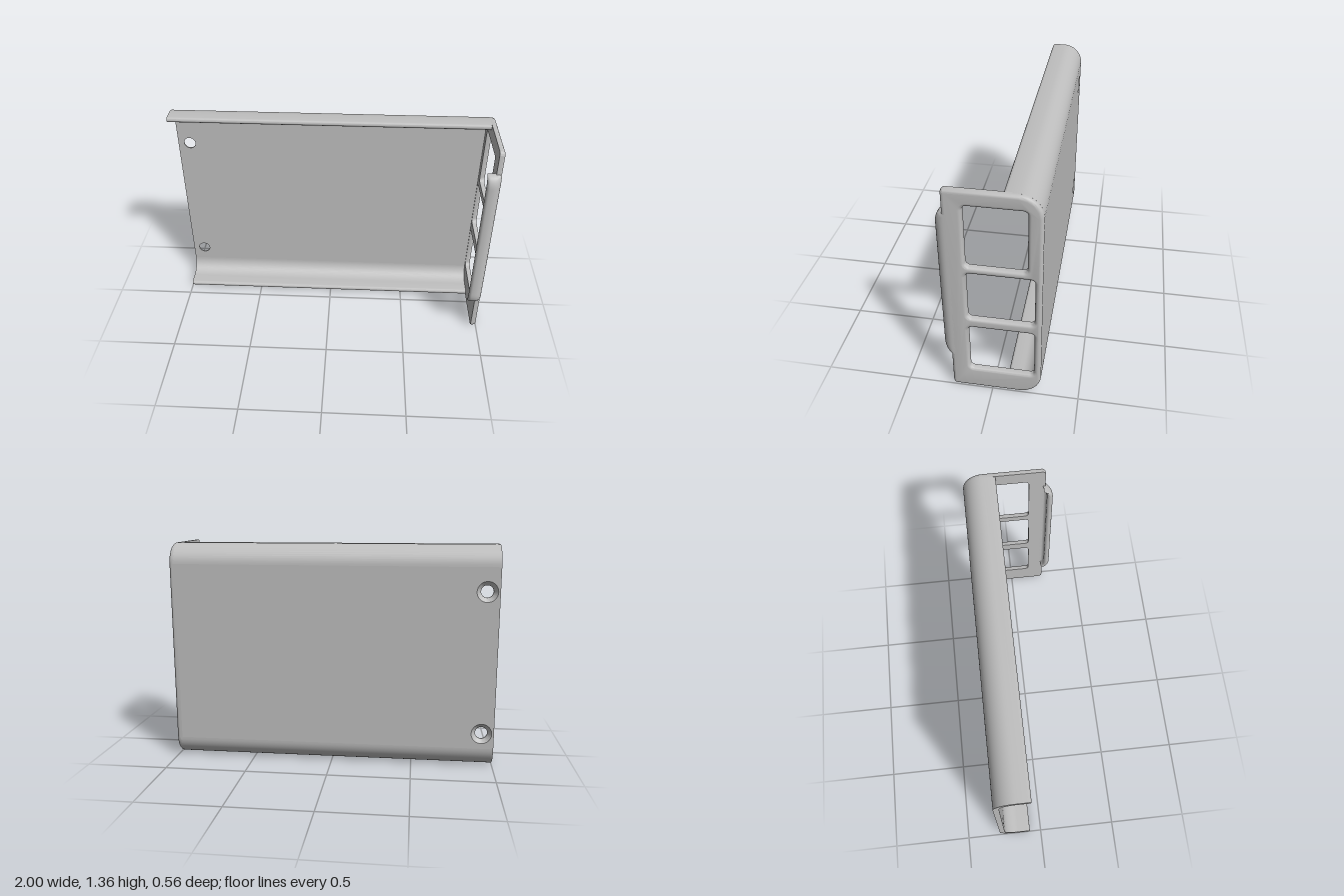
import * as THREE from 'three';
import { toCreasedNormals } from 'three/addons/utils/BufferGeometryUtils.js';

const H = 1.36, BACK = 0.28, R = 0.125, T = 0.033;   // height, back depth, corner radius, wall
const PLATE_X = 0.965, TRAY_END = 0.975;

const arc = (cx, cy, r, a0, a1, n) => Array.from({ length: n + 1 }, (_, i) => {
  const a = THREE.MathUtils.degToRad(a0 + (a1 - a0) * i / n);
  return new THREE.Vector2(cx + r * Math.cos(a), cy + r * Math.sin(a));
});

// Rectangle with corner radii [bottom left, bottom right, top right, top left]
function roundRect(x0, y0, x1, y1, [a, b, c, d], n = 8) {
  return [
    ...arc(x0 + a, y0 + a, a, 180, 270, n), ...arc(x1 - b, y0 + b, b, 270, 360, n),
    ...arc(x1 - c, y1 - c, c, 0, 90, n), ...arc(x0 + d, y1 - d, d, 90, 180, n),
  ];
}

export function createModel() {
  const model = new THREE.Group();
  const grey = new THREE.MeshStandardMaterial({ color: 0xbfbfbf, side: THREE.DoubleSide });
  grey.name = 'grey';
  const add = (name, geo) => {
    const mesh = new THREE.Mesh(toCreasedNormals(geo, 0.6), grey);
    mesh.name = name;
    model.add(mesh);
  };

  // Back panel: two layers, the outer one with wider holes for the countersinks
  const screws = [[-0.925, 0.22], [-0.925, 1.09]];
  const panelLayer = (name, z, depth, radius) => {
    const shape = new THREE.Shape([[-1, R], [TRAY_END, R], [TRAY_END, H - R], [-1, H - R]]
      .map(p => new THREE.Vector2(...p)));
    for (const [x, y] of screws) shape.holes.push(new THREE.Path(arc(x, y, radius, 0, 360, 32).slice(0, -1)));
    add(name, new THREE.ExtrudeGeometry(shape, { depth, bevelEnabled: false }).translate(0, 0, z));
  };
  panelLayer('backPanelOuter', -BACK, T - 0.008, 0.062);
  panelLayer('backPanelInner', -BACK + T - 0.008, 0.008, 0.037);
  for (const [x, y] of screws) {
    const cone = new THREE.CylinderGeometry(0.037, 0.062, T - 0.008, 32, 1, true);
    add('countersink', cone.rotateX(Math.PI / 2).translate(x, y, -BACK + (T - 0.008) / 2));
  }

  // Curved top and bottom rails with rounded lips
  const rail = [
    ...arc(BACK - R, R, R, -90, 0, 14),
    ...arc(BACK - R, R, R - T, 0, -90, 14),
    ...arc(0.075 + T / 2, T / 2, T / 2, 90, 270, 8),
  ];
  for (const top of [false, true]) {
    const pts = rail.map(p => new THREE.Vector2(p.x, top ? H - p.y : p.y));
    const geo = new THREE.ExtrudeGeometry(new THREE.Shape(pts), { depth: TRAY_END + 1, bevelEnabled: false });
    add(top ? 'topRail' : 'bottomRail', geo.rotateY(Math.PI / 2).translate(-1, 0, 0));
  }

  // End plate with three windows, rounded on its outer side only
  const plate = new THREE.Shape(roundRect(-0.235, 0, BACK, H, [0.024, R, R, 0.024]));
  for (const [y0, y1, u1] of [[0.145, 0.465, 0.24], [0.53, 0.845, 0.24], [0.89, 1.27, 0.2]]) {
    plate.holes.push(new THREE.Path(roundRect(-0.13, y0, u1, y1, [0.025, 0.025, 0.025, 0.025], 5)));
  }
  const bevel = 0.02;
  const plateGeo = new THREE.ExtrudeGeometry(plate, {
    depth: 1 - PLATE_X - bevel, bevelThickness: bevel, bevelSize: bevel, bevelOffset: -bevel, bevelSegments: 5,
  });
  const pp = plateGeo.attributes.position;
  for (let i = 0; i < pp.count; i++) pp.setZ(i, Math.max(0, pp.getZ(i)));
  add('endPlate', plateGeo.rotateY(Math.PI / 2).translate(PLATE_X, 0, 0));

  // Hooked flange along the plate's front edge, sinking back at both ends
  const y0 = 0.24, y1 = 1.215, z0 = 0.21;
  const hook = [
    new THREE.Vector2(PLATE_X, z0), new THREE.Vector2(1, z0),
    ...arc(0.945, 0.225, 0.055, 0, 90, 8),
    ...arc(0.932, 0.261, 0.019, 90, 270, 8),
    ...arc(0.949, 0.226, 0.016, 90, 0, 4),
  ].map(p => new THREE.Vector2(p.x, -p.y));
  const hookGeo = new THREE.ExtrudeGeometry(new THREE.Shape(hook), { depth: y1 - y0, steps: 80, bevelEnabled: false });
  hookGeo.rotateX(-Math.PI / 2).translate(0, y0, 0);
  const hp = hookGeo.attributes.position;
  for (let i = 0; i < hp.count; i++) {
    const end = Math.min(hp.getY(i) - y0, y1 - hp.getY(i));
    const t = THREE.MathUtils.clamp(1 - end / 0.075, 0, 1);
    const sink = 0.62 * (1 - Math.sqrt(1 - t * t));
    hp.setZ(i, z0 + (hp.getZ(i) - z0) * (1 - sink));
  }
  add('hookFlange', hookGeo);

  return model;
}
